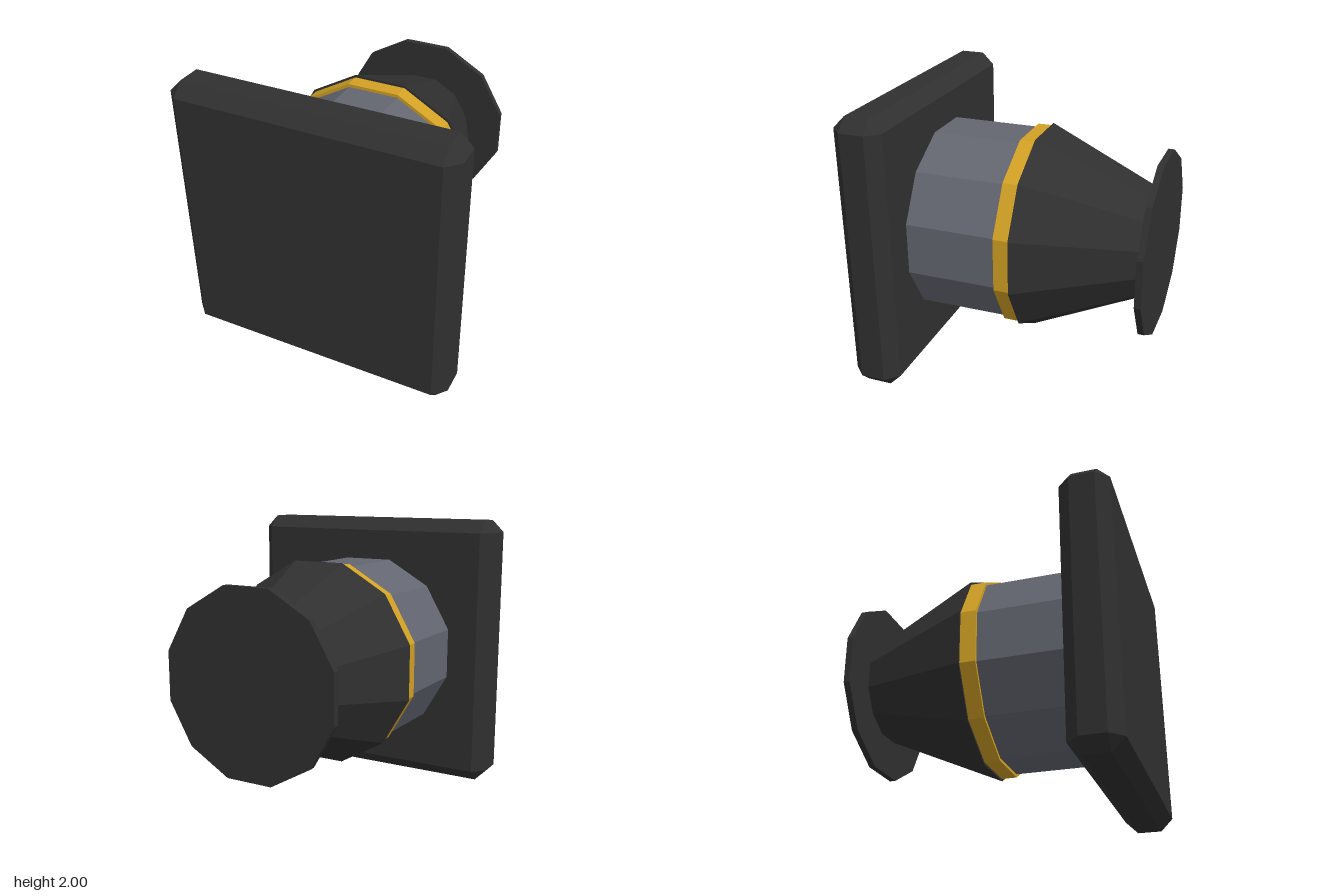
import * as THREE from 'three';
import { ConvexGeometry } from 'three/addons/geometries/ConvexGeometry.js';

function material(name, color) {
  const m = new THREE.MeshStandardMaterial({ color, flatShading: true });
  m.name = name;
  return m;
}

// Box with a single-step chamfer on every edge
function chamferedBox(w, h, d, c) {
  const points = [];
  for (const sx of [-1, 1]) for (const sy of [-1, 1]) for (const sz of [-1, 1]) {
    const x = w / 2, y = h / 2, z = d / 2;
    points.push(
      new THREE.Vector3(sx * x, sy * (y - c), sz * (z - c)),
      new THREE.Vector3(sx * (x - c), sy * y, sz * (z - c)),
      new THREE.Vector3(sx * (x - c), sy * (y - c), sz * z)
    );
  }
  return new ConvexGeometry(points);
}

export function createModel() {
  const group = new THREE.Group();
  const black = material('black', 0x303030);
  const grey = material('steel grey', 0x636670);
  const gold = material('gold', 0xd2a124);

  const add = (name, geometry, mat, z) => {
    const mesh = new THREE.Mesh(geometry, mat);
    mesh.name = name;
    mesh.position.set(0, 1, z);
    group.add(mesh);
  };

  // Twelve-sided section along z, with a flat side facing up
  const section = (name, mat, zFront, zBack, rFront, rBack = rFront) => {
    const g = new THREE.CylinderGeometry(rFront, rBack, zFront - zBack, 12, 1, false, Math.PI / 12);
    g.rotateX(Math.PI / 2);
    add(name, g, mat, (zFront + zBack) / 2);
  };

  // Square front plate
  add('frontPlate', chamferedBox(2, 2, 0.352, 0.088), black, 0.824);

  // Body, band, tapered rear and end disc
  section('barrel', grey, 0.66, 0, 0.712);
  section('band', gold, 0, -0.112, 0.735);
  section('taperedRear', black, -0.112, -0.955, 0.752, 0.376);
  section('endDisc', black, -0.955, -1, 0.667);

  return group;
}
